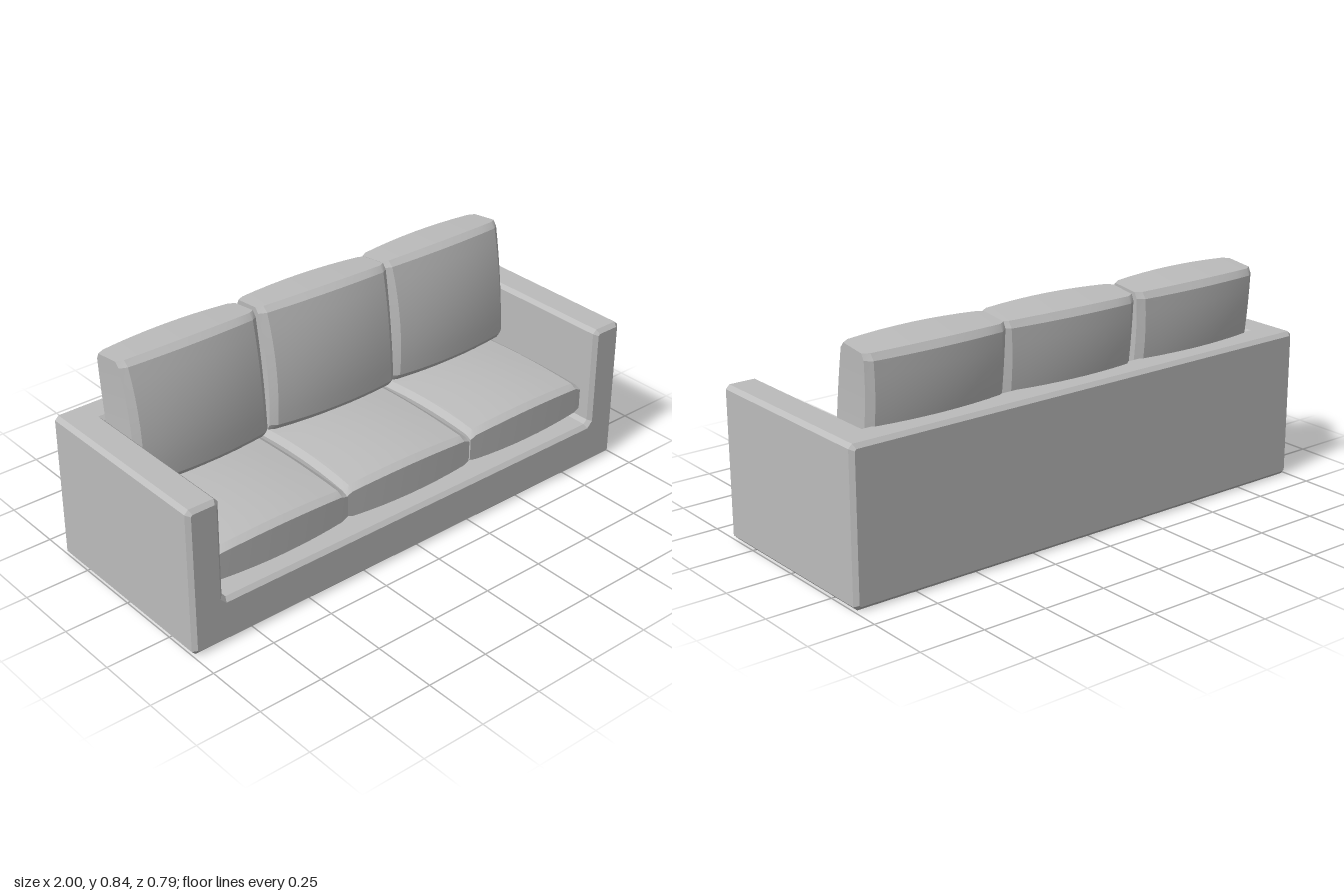
import * as THREE from 'three';
import { toCreasedNormals } from 'three/addons/utils/BufferGeometryUtils.js';

const BEVEL = 0.015;

// Polygon whose corners are all cut by a small chamfer
function chamferedShape(corners, cut) {
  const points = [];
  corners.forEach(([x, y], i) => {
    const corner = new THREE.Vector2(x, y);
    const before = new THREE.Vector2(...corners[(i + corners.length - 1) % corners.length]);
    const after = new THREE.Vector2(...corners[(i + 1) % corners.length]);
    for (const other of [before, after]) {
      points.push(other.sub(corner).setLength(cut).add(corner));
    }
  });
  return new THREE.Shape(points);
}

// Puffed cushion: broad faces bulge in z and step down to a thin border
function cushionGeometry(width, height, thickness) {
  const n = 10;
  const geometry = new THREE.BoxGeometry(2, 2, 2, n, n, 1);
  const pos = geometry.attributes.position;
  const ring = 1 - 2 / n;
  // The outermost row becomes a narrow chamfer
  const spread = (t) => (Math.abs(t) > 0.99 ? t : (t / ring) * 0.91);
  const puff = (t) => (Math.abs(t) > 0.99 ? 0.65 : 1 - 0.17 * Math.pow(Math.abs(t) / ring, 2));
  for (let i = 0; i < pos.count; i++) {
    const u = pos.getX(i), v = pos.getY(i), w = pos.getZ(i);
    const su = spread(u), sv = spread(v);
    pos.setXYZ(
      i,
      (width / 2) * su * (1 - 0.02 * (1 - sv * sv)),
      (height / 2) * sv * (1 - 0.025 * su * su),
      (thickness / 2) * w * puff(u) * puff(v)
    );
  }
  return toCreasedNormals(geometry, 0.35);
}

export function createModel() {
  const sofa = new THREE.Group();
  sofa.name = 'sofa';
  const fabric = new THREE.MeshStandardMaterial({ color: 0xbcbcbc });
  fabric.name = 'grey fabric';

  const add = (name, geometry, position, rotation = [0, 0, 0]) => {
    const mesh = new THREE.Mesh(geometry, fabric);
    mesh.name = name;
    mesh.position.set(...position);
    mesh.rotation.set(...rotation, 'YXZ');
    sofa.add(mesh);
  };

  // Base and both arms as one U section, bevelled front and back
  const section = chamferedShape([
    [-1, 0], [1, 0], [1, 0.575], [0.87, 0.575],
    [0.87, 0.175], [-0.87, 0.175], [-0.87, 0.575], [-1, 0.575],
  ], BEVEL);
  add('baseAndArms', new THREE.ExtrudeGeometry(section, {
    depth: 0.79 - 2 * BEVEL, bevelEnabled: true, bevelSegments: 1,
    bevelSize: BEVEL, bevelThickness: BEVEL, bevelOffset: -BEVEL,
  }), [0, 0, -0.395 + BEVEL]);

  // Back panel between the arms, drawn in side profile and run along x
  const profile = chamferedShape([
    [0.27, 0.14], [0.395, 0.14], [0.395, 0.575], [0.27, 0.575],
  ], BEVEL);
  const panel = new THREE.ExtrudeGeometry(profile, { depth: 1.8, bevelEnabled: false });
  panel.translate(0, 0, -0.9).rotateY(Math.PI / 2);
  add('backPanel', panel, [0, 0, 0]);

  // Seat cushions lie flat, the middle one slightly turned
  const seat = cushionGeometry(0.572, 0.575, 0.19);
  [[-0.58, 0], [-0.003, -0.018], [0.575, 0]].forEach(([x, turn]) => {
    add('seatCushion', seat, [x, 0.27, 0.063], [-Math.PI / 2, turn, 0]);
  });

  // Back cushions lean against the panel
  const back = cushionGeometry(0.575, 0.49, 0.245);
  [[-0.585, 0], [0.01, -0.04], [0.582, 0]].forEach(([x, turn]) => {
    add('backCushion', back, [x, 0.592, -0.192], [-0.12, turn, 0]);
  });

  return sofa;
}
